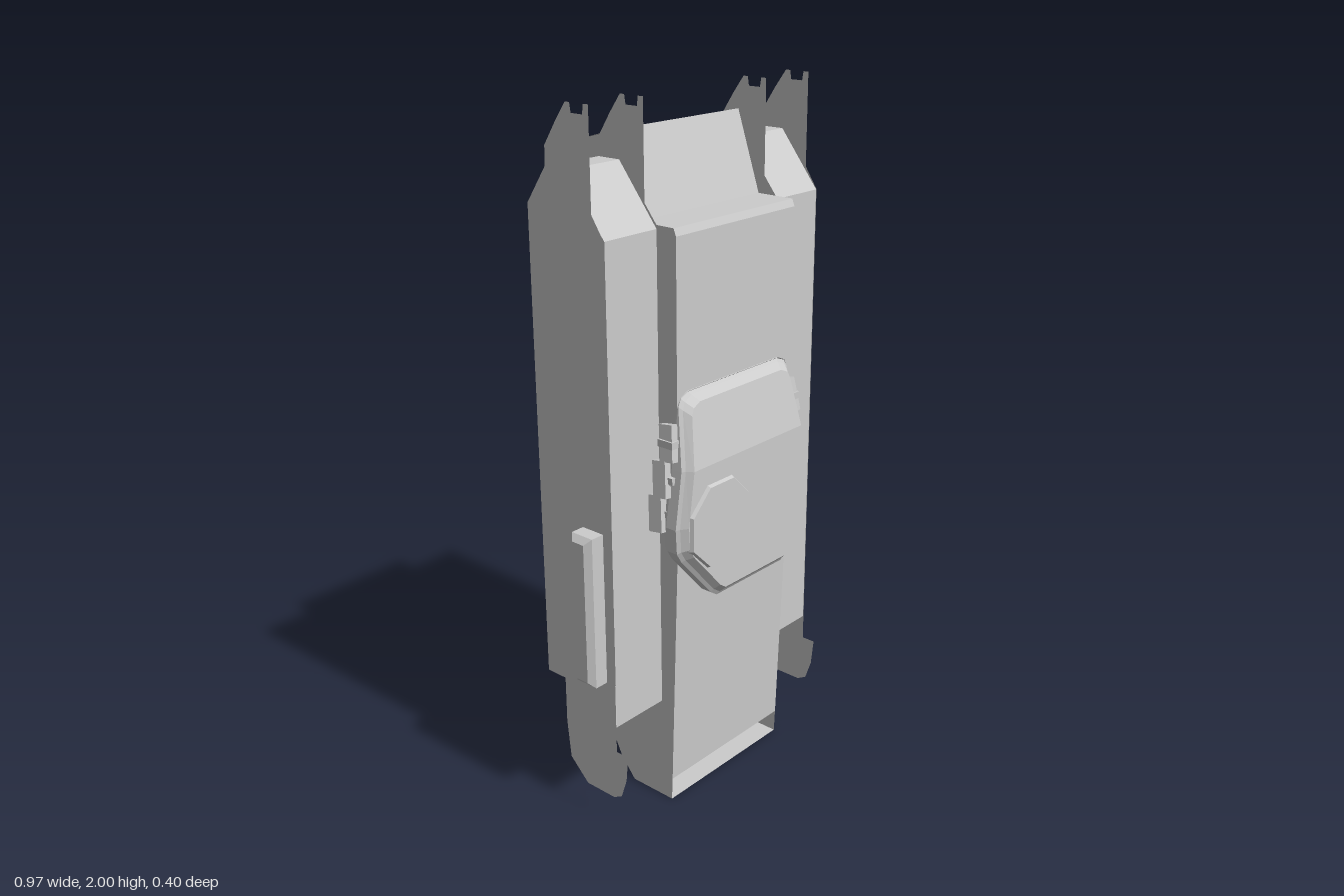
import * as THREE from 'three';

const mat = new THREE.MeshStandardMaterial({ color: 0xcccccc, flatShading: true, side: THREE.DoubleSide });

function add(parent, name, geometry) {
  const mesh = new THREE.Mesh(geometry, mat);
  mesh.name = name;
  parent.add(mesh);
  return mesh;
}

function fromTriangles(points) {
  const g = new THREE.BufferGeometry();
  g.setAttribute('position', new THREE.Float32BufferAttribute(points.flat(), 3));
  g.computeVertexNormals();
  return g;
}

// Chain of sheet panels along a [z, y] profile, spanning x0 to x1
function panels(profile, x0, x1) {
  const t = [];
  for (let i = 0; i + 1 < profile.length; i++) {
    const [z0, y0] = profile[i], [z1, y1] = profile[i + 1];
    const a = [x0, y0, z0], b = [x1, y0, z0], c = [x1, y1, z1], d = [x0, y1, z1];
    t.push(a, b, c, a, c, d);
  }
  return fromTriangles(t);
}

// Flat sheet with a [z, y] outline, standing at the given x
function sidePlate(outline, x) {
  const shape = new THREE.Shape(outline.map(([z, y]) => new THREE.Vector2(-z, y)));
  return new THREE.ShapeGeometry(shape).rotateY(Math.PI / 2).translate(x, 0, 0);
}

// Stack of equal-length closed rings, capped by a fan to the given centre points
function loft(rings, bottom, top) {
  const t = [], n = rings[0].length;
  for (let i = 0; i < n; i++) {
    const j = (i + 1) % n;
    for (let r = 0; r + 1 < rings.length; r++) {
      const p = rings[r], q = rings[r + 1];
      t.push(p[i], p[j], q[j], p[i], q[j], q[i]);
    }
    const last = rings[rings.length - 1];
    t.push(rings[0][j], rings[0][i], bottom, last[i], last[j], top);
  }
  return fromTriangles(t);
}

// Two-pronged lug shared by the upper ends of all four plates
const lug = [[0.025, 1.74], [0.025, 2], [0.008, 2], [0.004, 1.975], [-0.034, 1.975],
  [-0.038, 2], [-0.053, 2], [-0.09, 1.95], [-0.13, 1.89]];

function createHull() {
  const hull = new THREE.Group();
  hull.name = 'hull';
  const shell = [[0.103, 0.07], [0.13, 0.84], [0.13, 1.67], [0.122, 1.69], [0.005, 1.69],
    [-0.07, 1.912], [-0.18, 1.88], [-0.2, 1.85], [-0.2, 0.26], [-0.1, 0.07]];
  add(hull, 'hullShell', panels(shell, -0.24, 0.24));
  add(hull, 'endPanel', panels([[0.1, 0], [-0.05, 0]], -0.24, 0.24));
  const wall = [[0.1, 0], [0.103, 0.07], [0.13, 0.84], [0.13, 1.67], [0.122, 1.69], [0.065, 1.69],
    ...lug, [-0.18, 1.88], [-0.2, 1.85], [-0.2, 0.26], [-0.1, 0.06], [-0.05, 0]];
  for (const s of [-1, 1]) add(hull, 'hullWall', sidePlate(wall, s * 0.24));
  return hull;
}

function createSponson(s) {
  const g = new THREE.Group();
  g.name = s > 0 ? 'leftSponson' : 'rightSponson';
  const shell = [[0.065, 0.318], [0.065, 1.68], [-0.06, 1.838], [-0.132, 1.838], [-0.132, 0.29], [0.065, 0.318]];
  add(g, 'sponsonShell', panels(shell, s * 0.24, s * 0.425));
  // Outer skirt with the curved lower hook and the rear flange
  const skirt = [[0.065, 0.24], [0.108, 0.24], [0.1, 0.16], [0.08, 0.1], [0.05, 0.083], [-0.055, 0.083],
    [-0.12, 0.145], [-0.132, 0.26], [-0.132, 0.4], [-0.2, 0.4], [-0.2, 1.74], [-0.132, 1.838],
    ...[...lug].reverse(), [0.065, 1.68]];
  add(g, 'skirt', sidePlate(skirt, s * 0.427));
  // Bevelled side box
  const ring = (x, inset) => [[-1, -1], [1, -1], [1, 1], [-1, 1]].map(([a, b]) =>
    [s * x, 0.673 + a * (0.223 - inset), -0.003 + b * (0.037 - inset)]);
  add(g, 'sideBox', loft([ring(0.427, 0), ring(0.468, 0), ring(0.484, 0.017)],
    [s * 0.427, 0.673, -0.003], [s * 0.484, 0.673, -0.003]));
  return g;
}

function createTurret() {
  const turret = new THREE.Group();
  turret.name = 'turret';
  const outline = [[0.235, 1.06], [0.213, 1.225], [0.205, 1.245], [0.175, 1.258], [-0.2, 1.258],
    [-0.23, 1.245], [-0.242, 1.225], [-0.268, 1.06], [-0.292, 0.9], [-0.288, 0.83], [-0.27, 0.8],
    [-0.15, 0.665], [-0.125, 0.648], [0.165, 0.648], [0.19, 0.67], [0.255, 0.86], [0.26, 0.92]];
  const cx = -0.015, cy = 0.96;
  const roof = y => 0.194 - Math.max(0, y - 1.06) * 0.2;
  // The crease points keep y = 1.06 so the roof breaks along a straight line
  const ring = (k, z) => outline.map(([x, y]) => {
    const yy = y === 1.06 ? y : cy + (y - cy) * k;
    return [cx + (x - cx) * k, yy, z(yy)];
  });
  const rings = [ring(0.95, () => 0.115), ring(1, () => 0.135), ring(1, y => roof(y) - 0.025),
    ring(0.965, y => roof(y) - 0.018), ring(0.91, roof)];
  add(turret, 'turretBody', loft(rings, [cx, cy, 0.115], [cx, 1.06, 0.194]));

  // Octagonal hatch with a bevelled edge
  const hatch = add(turret, 'hatch', new THREE.CylinderGeometry(0.125, 0.135, 0.02, 8, 1));
  hatch.geometry.rotateY(Math.PI / 8).rotateX(Math.PI / 2);
  hatch.position.set(-0.143, 0.885, 0.194);

  // Staggered launcher tubes and brackets along both flanks
  for (const s of [-1, 1]) {
    const x0 = s > 0 ? 0.243 : -0.268;
    for (let i = 0; i < 3; i++) {
      const tube = add(turret, 'launcherTube', new THREE.BoxGeometry(0.022, 0.1, 0.045));
      tube.position.set(x0 + s * [0.018, 0.014, 0][i], 0.93 + i * 0.1, 0.1 + i * 0.012);
      tube.rotation.set(-0.15, 0, s * 0.14);
      const bracket = add(turret, 'launcherBracket', new THREE.BoxGeometry(0.03, 0.02, 0.05));
      bracket.position.set(x0, 0.93 + i * 0.1, 0.125);
    }
  }
  return turret;
}

export function createModel() {
  const model = new THREE.Group();
  model.name = 'armouredVehicle';
  model.add(createHull(), createSponson(1), createSponson(-1), createTurret());
  return model;
}
